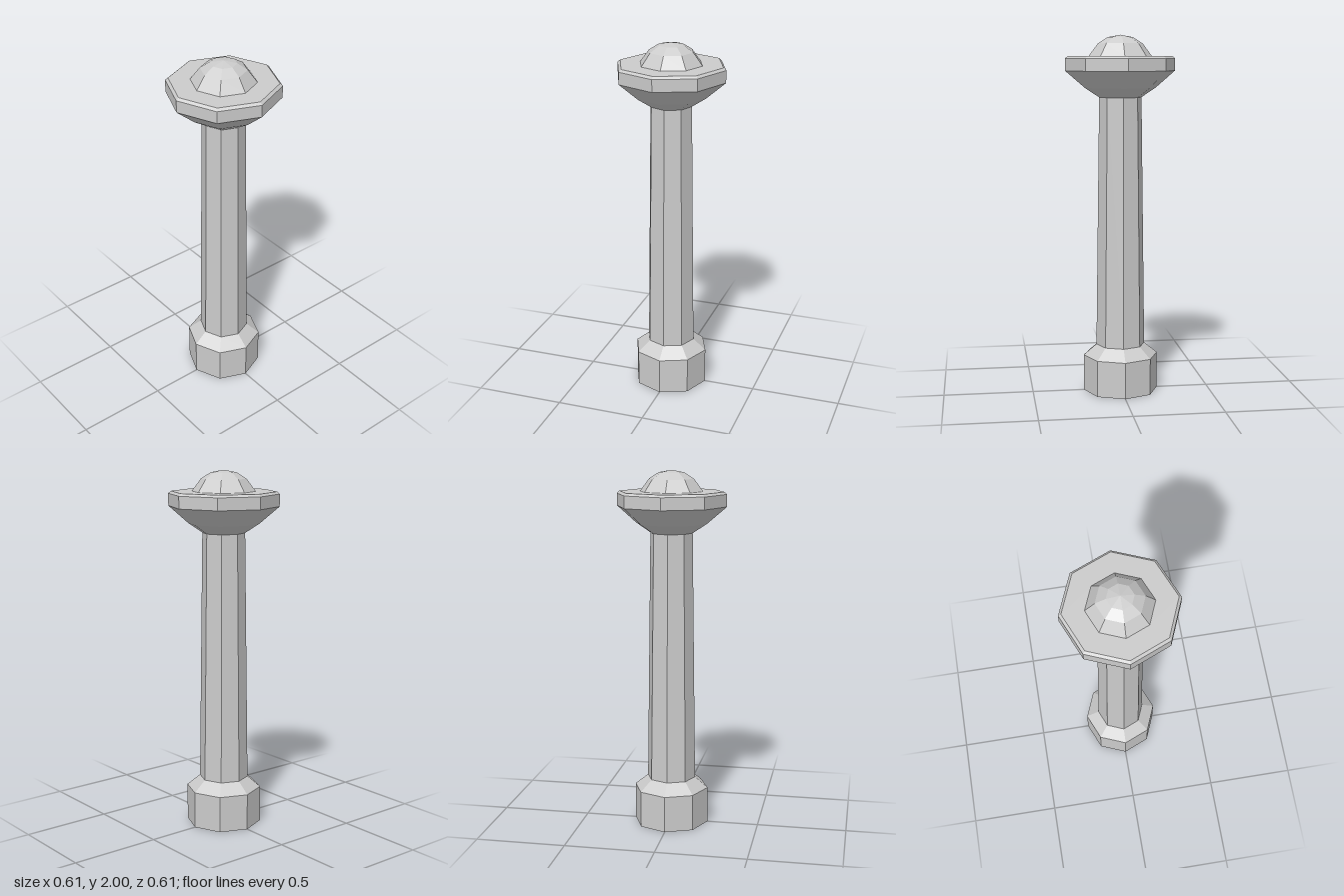
import * as THREE from 'three';

const SIDES = 8;

export function createModel() {
  const group = new THREE.Group();
  const material = new THREE.MeshStandardMaterial({
    color: 0xcccccc, flatShading: true, side: THREE.DoubleSide,
  });

  // Eight-sided turned part from [radius, height] pairs, listed bottom to top
  const turned = (name, profile) => {
    const points = profile.map(([r, y]) => new THREE.Vector2(r, y));
    const mesh = new THREE.Mesh(new THREE.LatheGeometry(points, SIDES), material);
    mesh.name = name;
    group.add(mesh);
  };

  // Hollow foot, open underneath, with a sloped shoulder
  turned('base', [[0.21, 0], [0.21, 0.205], [0.137, 0.265]]);

  // Slightly tapering column
  turned('shaft', [[0.137, 0.265], [0.118, 1.66]]);

  // Flared bowl, upright rim, small bevel and flat top
  turned('cap', [
    [0.118, 1.66], [0.197, 1.712], [0.305, 1.805],
    [0.305, 1.872], [0.29, 1.885], [0.175, 1.885],
  ]);

  // Faceted dome
  turned('dome', [[0.175, 1.885], [0.124, 1.953], [0.07, 1.987], [0, 2]]);

  return group;
}
